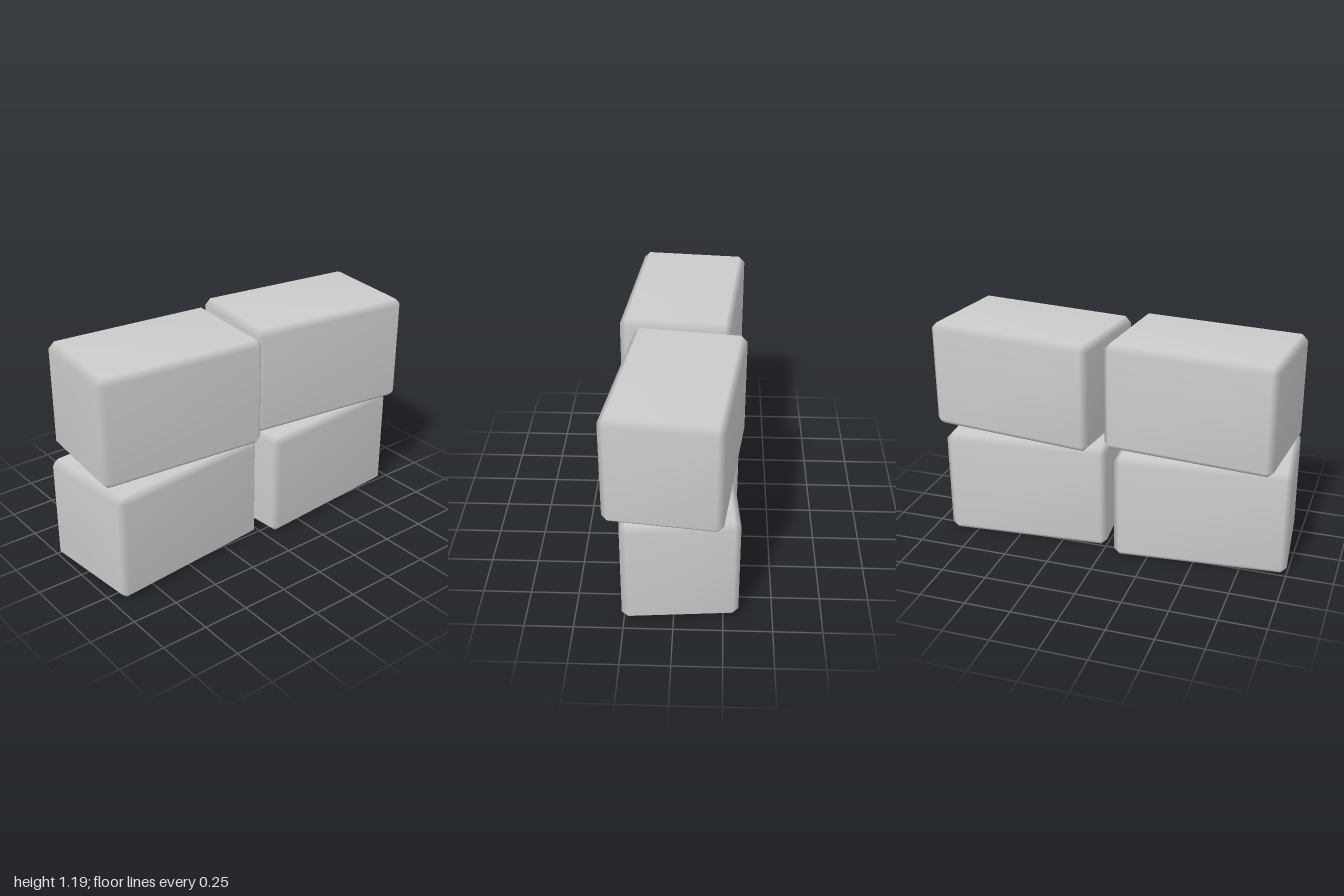
import * as THREE from 'three';
import { ConvexGeometry } from 'three/addons/geometries/ConvexGeometry.js';
import { mergeVertices } from 'three/addons/utils/BufferGeometryUtils.js';

const material = new THREE.MeshStandardMaterial({ color: 0xcccccc });

// Box with every edge and corner chamfered by c, shaded smoothly across the chamfers
function chamferedBox(w, h, d, c) {
  const points = [];
  for (const sx of [-1, 1]) for (const sy of [-1, 1]) for (const sz of [-1, 1]) {
    const x = w / 2, y = h / 2, z = d / 2;
    points.push(
      new THREE.Vector3(sx * x, sy * (y - c), sz * (z - c)),
      new THREE.Vector3(sx * (x - c), sy * y, sz * (z - c)),
      new THREE.Vector3(sx * (x - c), sy * (y - c), sz * z)
    );
  }
  const hull = new ConvexGeometry(points);
  hull.deleteAttribute('normal');
  const geometry = mergeVertices(hull, 1e-4);
  geometry.computeVertexNormals();
  return geometry;
}

export function createModel() {
  const model = new THREE.Group();
  model.name = 'stackedBlocks';

  // Two rows of blocks, each row twisted the opposite way
  const height = 0.587, depth = 0.593, chamfer = 0.032;
  const blocks = [
    { name: 'lowerRightBlock', x: -0.508, y: 0.294, z: 0.003, width: 0.935, turn: 5.2 },
    { name: 'lowerLeftBlock', x: 0.472, y: 0.294, z: 0, width: 0.905, turn: 4.5 },
    { name: 'upperRightBlock', x: -0.477, y: 0.894, z: -0.015, width: 0.925, turn: -5.3 },
    { name: 'upperLeftBlock', x: 0.499, y: 0.894, z: -0.003, width: 0.935, turn: -7.2 }
  ];
  for (const b of blocks) {
    const mesh = new THREE.Mesh(chamferedBox(b.width, height, depth, chamfer), material);
    mesh.name = b.name;
    mesh.position.set(b.x, b.y, b.z);
    mesh.rotation.y = THREE.MathUtils.degToRad(b.turn);
    model.add(mesh);
  }
  return model;
}
